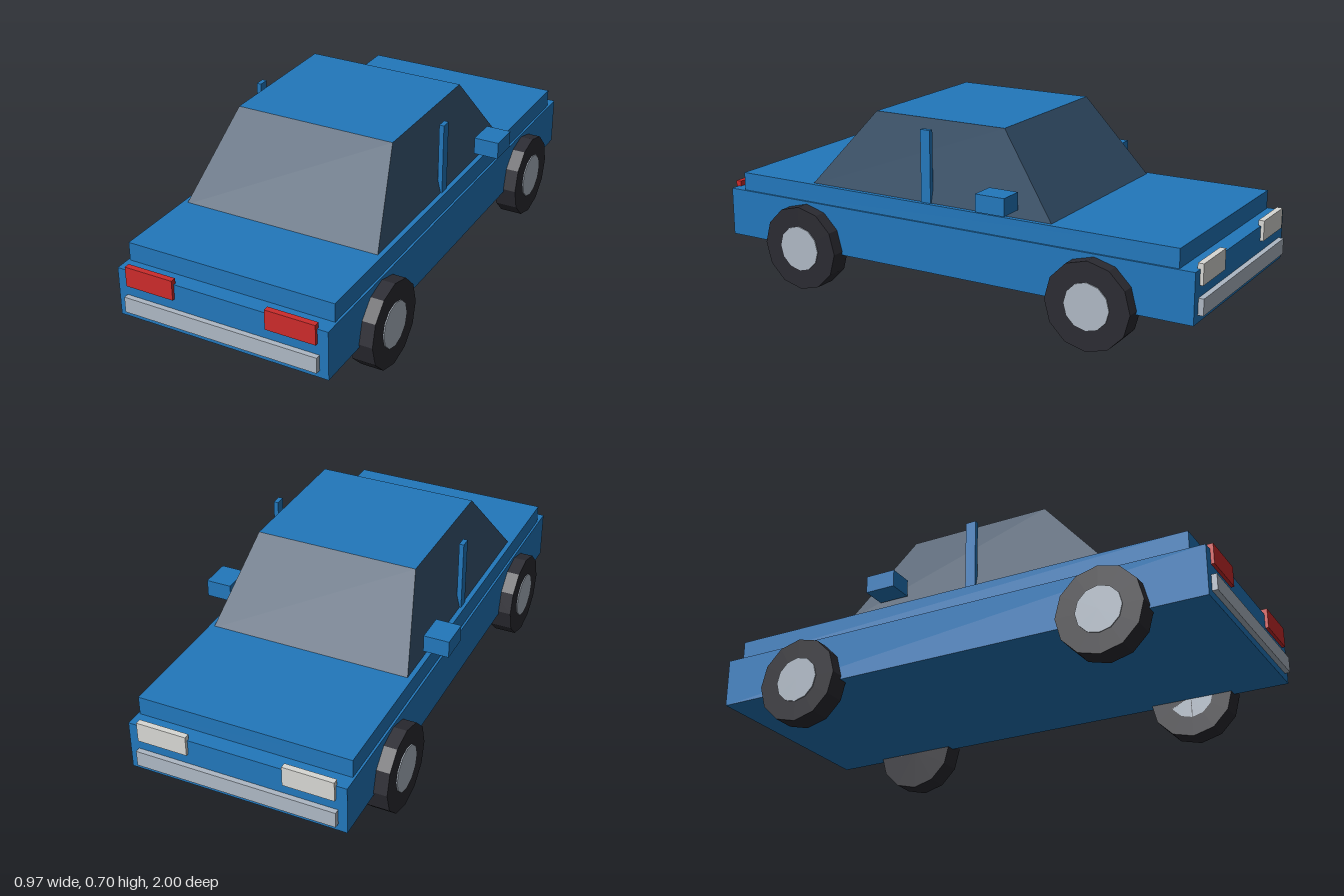
import * as THREE from 'three';

const mat = (name, color) => Object.assign(new THREE.MeshStandardMaterial({ color }), { name });

export function createModel() {
  const car = new THREE.Group();
  car.name = 'car';
  const paint = mat('blue paint', 0x2277bb);
  const glass = mat('tinted glass', 0x2f4a63);
  const rubber = mat('tyre rubber', 0x2b2b32);
  const metal = mat('grey metal', 0xaeb8c4);
  const red = mat('red lens', 0xcc2b2b);
  const clear = mat('pale lens', 0xd8d8d4);
  rubber.flatShading = true;

  const add = (name, geometry, material) => {
    const mesh = new THREE.Mesh(geometry, material);
    mesh.name = name;
    car.add(mesh);
    return mesh;
  };
  // Box given by its minimum and maximum on each axis
  const box = (name, material, [x0, x1], [y0, y1], [z0, z1]) => {
    const mesh = add(name, new THREE.BoxGeometry(x1 - x0, y1 - y0, z1 - z0), material);
    mesh.position.set((x0 + x1) / 2, (y0 + y1) / 2, (z0 + z1) / 2);
  };

  // Body in two steps
  box('lowerBody', paint, [-0.41, 0.41], [0.15, 0.336], [-0.98, 0.98]);
  box('upperBody', paint, [-0.402, 0.402], [0.336, 0.406], [-0.92, 0.92]);

  // Tapered cabin: glass all round, painted roof
  const cabin = new THREE.BoxGeometry(2, 2, 2);
  const p = cabin.attributes.position;
  for (let i = 0; i < p.count; i++) {
    const top = p.getY(i) > 0;
    const rear = p.getZ(i) > 0;
    const z = top ? (rear ? 0.345 : -0.203) : (rear ? 0.598 : -0.438);
    p.setXYZ(i, p.getX(i) * (top ? 0.31 : 0.385), top ? 0.7 : 0.4, z);
  }
  cabin.computeVertexNormals();
  add('cabin', cabin, [glass, glass, paint, glass, glass, glass]);

  // Bumpers at both ends
  box('rearBumper', metal, [-0.377, 0.377], [0.178, 0.238], [0.97, 1]);
  box('frontBumper', metal, [-0.377, 0.377], [0.178, 0.238], [-1, -0.97]);

  for (const [side, s] of [['left', 1], ['right', -1]]) {
    const span = (a, b) => (s > 0 ? [a, b] : [-b, -a]);
    box(side + 'TailLight', red, span(0.18, 0.37), [0.28, 0.356], [0.97, 0.992]);
    box(side + 'Headlight', clear, span(0.18, 0.37), [0.28, 0.356], [-0.992, -0.97]);
    box(side + 'DoorPillar', paint, span(0.371, 0.389), [0.4, 0.676], [0.06, 0.1]);
    box(side + 'Mirror', paint, span(0.387, 0.483), [0.437, 0.502], [-0.303, -0.187]);

    // Twelve-sided tyres with hubcaps
    for (const [end, z] of [['Rear', 0.612], ['Front', -0.612]]) {
      const tyre = add(side + end + 'Tyre', new THREE.CylinderGeometry(0.163, 0.163, 0.086, 12), rubber);
      const hub = add(side + end + 'Hubcap', new THREE.CylinderGeometry(0.087, 0.087, 0.09, 12), metal);
      tyre.position.set(s * 0.417, 0.163, z);
      hub.position.set(s * 0.419, 0.163, z);
      tyre.rotation.z = hub.rotation.z = Math.PI / 2;
    }
  }
  return car;
}
